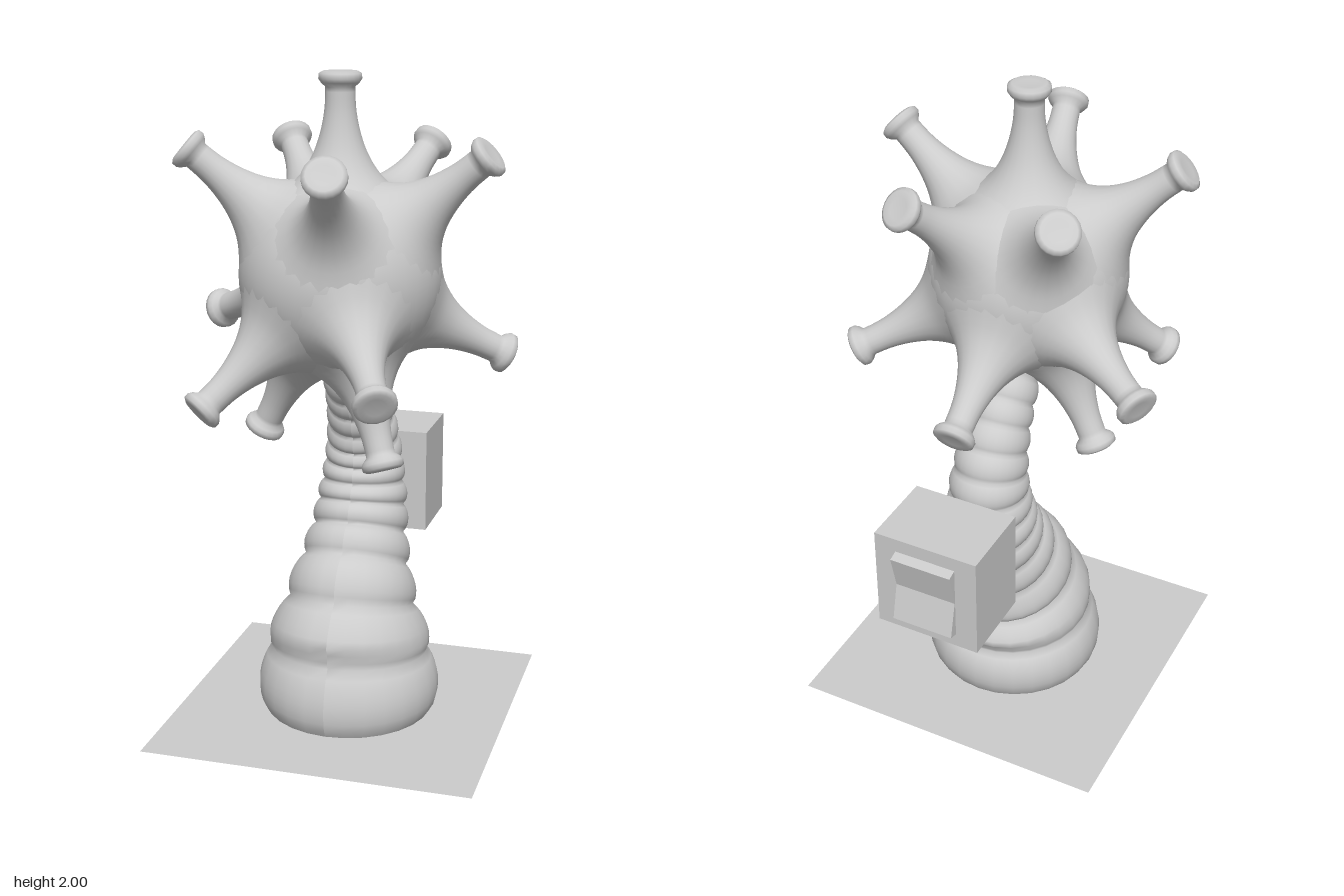
import * as THREE from 'three';

const material = new THREE.MeshStandardMaterial({ color: 0xcccccc });
const thinMaterial = new THREE.MeshStandardMaterial({ color: 0xcccccc, side: THREE.DoubleSide });

function add(parent, name, geometry, mat = material) {
  const mesh = new THREE.Mesh(geometry, mat);
  mesh.name = name;
  parent.add(mesh);
  return mesh;
}

// Creases between the stem's rings: height, depth, radius
const CREASES = [
  [0, 0, 0.265], [0.19, -0.005, 0.245], [0.34, -0.03, 0.195], [0.46, -0.08, 0.16],
  [0.55, -0.125, 0.14], [0.63, -0.155, 0.132], [0.7, -0.17, 0.122], [0.77, -0.175, 0.113],
  [0.84, -0.165, 0.105], [0.91, -0.14, 0.097], [0.98, -0.105, 0.09], [1.04, -0.065, 0.085],
  [1.1, -0.02, 0.08], [1.17, 0.03, 0.075],
];

// Cylinder bent along the creases, swelling between each pair
function stemGeometry() {
  const rings = CREASES.length - 1;
  const path = new THREE.CatmullRomCurve3(CREASES.map(([y, z]) => new THREE.Vector3(0, y, z)));
  const geometry = new THREE.CylinderGeometry(1, 1, 1, 28, rings * 8);
  const pos = geometry.attributes.position;
  for (let i = 0; i < pos.count; i++) {
    const t = THREE.MathUtils.clamp(pos.getY(i) + 0.5, 0, 1);
    const k = Math.min(Math.floor(t * rings + 1e-5), rings - 1);
    const f = THREE.MathUtils.clamp(t * rings - k, 0, 1);
    const crease = THREE.MathUtils.lerp(CREASES[k][2], CREASES[k + 1][2], f);
    const radius = crease * (1 + 0.12 * Math.pow(Math.max(0, Math.sin(Math.PI * f)), 0.7));
    const centre = path.getPoint(t);
    const tangent = path.getTangent(t);
    if (t < 0.02) tangent.set(0, 1, 0);
    const depth = pos.getZ(i) * radius * (t > 0.1 ? 1.06 : 1);
    pos.setXYZ(i, pos.getX(i) * radius, Math.max(0, centre.y - tangent.z * depth), centre.z + tangent.y * depth);
  }
  geometry.computeVertexNormals();
  return geometry;
}

// Spike profile: flare tangent to the ball, thin shaft, then a flat disc head
function spikeGeometry() {
  const flare = new THREE.SplineCurve([
    [0.19, 0.23], [0.125, 0.287], [0.085, 0.345], [0.06, 0.41], [0.046, 0.48], [0.043, 0.545],
  ].map(p => new THREE.Vector2(...p))).getPoints(18);
  const head = [[0.056, 0.557], [0.063, 0.568], [0.062, 0.583], [0.05, 0.59], [0.03, 0.587], [0, 0.587]]
    .map(p => new THREE.Vector2(...p));
  return new THREE.LatheGeometry([...flare, ...head], 20);
}

// Spike tips relative to the ball's centre
const TIPS = [
  [0, 0.59, 0], [0.09, 0.35, 0.46], [0.45, 0.37, 0.04], [-0.43, 0.37, 0.11], [-0.27, 0.37, -0.37],
  [0.18, 0.36, -0.43], [0.23, -0.26, 0.46], [0.45, -0.26, -0.24], [-0.47, -0.18, -0.27],
  [-0.32, -0.35, 0.31], [0.17, -0.52, 0.15], [-0.26, -0.49, -0.07], [-0.01, -0.3, -0.5],
];

export function createModel() {
  const model = new THREE.Group();
  model.name = 'spikyPlantSwitch';

  // Ground sheet
  add(model, 'groundPlate', new THREE.PlaneGeometry(1.02, 1.02).rotateX(-Math.PI / 2), thinMaterial);

  // Ringed, curved stem
  add(model, 'stem', stemGeometry());

  // Spiked ball
  const ball = new THREE.Group();
  ball.name = 'spikyBall';
  ball.position.set(0, 1.41, 0.09);
  model.add(ball);
  add(ball, 'ballBody', new THREE.SphereGeometry(0.3, 40, 28));
  const spike = spikeGeometry();
  const up = new THREE.Vector3(0, 1, 0);
  for (const tip of TIPS) {
    const direction = new THREE.Vector3(...tip).normalize();
    add(ball, 'spike', spike).quaternion.setFromUnitVectors(up, direction);
  }

  // Switch box behind the stem
  const box = new THREE.Group();
  box.name = 'switchBox';
  model.add(box);
  add(box, 'boxBody', new THREE.BoxGeometry(0.334, 0.334, 0.25)).position.set(0.004, 0.655, -0.445);

  // Rocker with a V-shaped face, drawn in depth and height then extruded across
  const profile = new THREE.Shape([
    [0.56, 0.78], [0.56, 0.53], [0.6, 0.542], [0.573, 0.655], [0.6, 0.768],
  ].map(p => new THREE.Vector2(...p)));
  const rocker = new THREE.ExtrudeGeometry(profile, { depth: 0.195, bevelEnabled: false });
  rocker.rotateY(Math.PI / 2);
  add(box, 'rocker', rocker).position.x = -0.093;

  return model;
}
